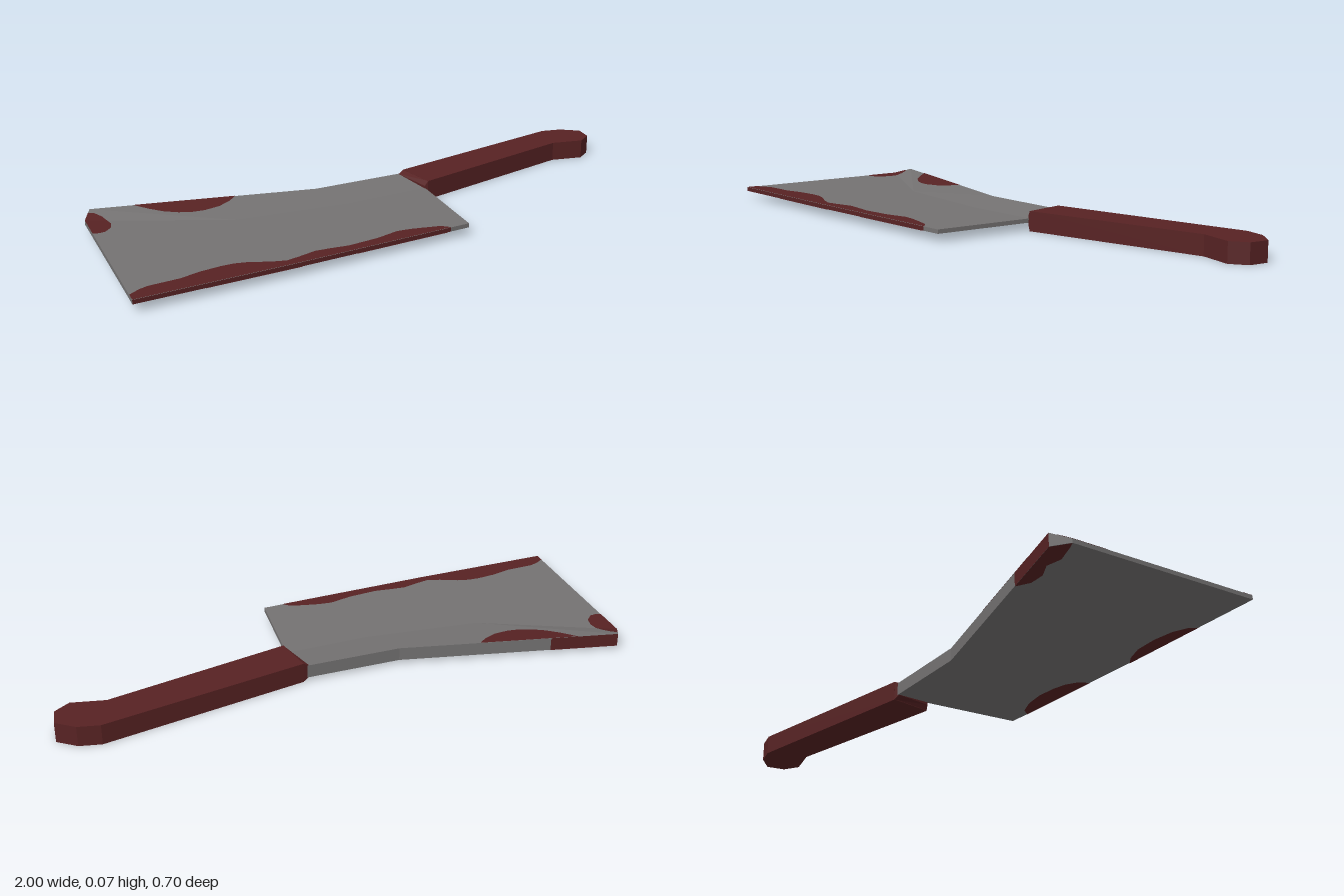
import * as THREE from 'three';

const steel = new THREE.MeshStandardMaterial({ color: 0x747272, side: THREE.DoubleSide, flatShading: true });
steel.name = 'steel';
const darkRed = new THREE.MeshStandardMaterial({ color: 0x572223, side: THREE.DoubleSide, flatShading: true });
darkRed.name = 'dark red';

const MID = 0.034, THIN = 0.007, THICK = 0.022;

// Blade plan: x, z, half thickness. 0-9 run round the outline, 10-11 lie on the ridge.
const plan = [
  [-1, 0.34, THIN], [-0.92, -0.3, THIN], [-0.885, -0.355, THICK], [-0.66, -0.29, THICK],
  [-0.16, -0.145, THICK], [0.165, -0.13, THICK], [0.185, 0.005, THIN], [0.13, 0.35, THIN],
  [0.06, 0.35, THIN], [-0.5, 0.35, THIN], [-0.5, -0.06, THIN], [-0.1, 0, THIN],
];
const slopes = [[1, 2, 10], [2, 3, 10], [3, 4, 10], [4, 11, 10], [4, 5, 11], [5, 6, 11]];
const flats = [[0, 1, 10], [0, 10, 9], [10, 11, 9], [11, 8, 9], [11, 6, 8], [6, 7, 8]];
const redSides = [2, 8, 9];

const at = (i, side) => new THREE.Vector3(plan[i][0], MID + side * plan[i][2], plan[i][1]);

function meshFrom(points, material, name) {
  const g = new THREE.BufferGeometry().setFromPoints(points);
  g.computeVertexNormals();
  const m = new THREE.Mesh(g, material);
  m.name = name;
  return m;
}

const quad = (a, b, c, d) => [a, b, c, a, c, d];

// Thin painted shape laid on the blade plane through three plan points
function stain(points, tri, side, name) {
  const shape = new THREE.Shape(points.map(([x, z]) => new THREE.Vector2(x, -z)));
  const g = new THREE.ShapeGeometry(shape);
  g.rotateX(-Math.PI / 2);
  const plane = new THREE.Plane().setFromCoplanarPoints(...tri.map((i) => at(i, side)));
  const p = g.attributes.position, n = plane.normal;
  for (let i = 0; i < p.count; i++) {
    const y = -(plane.constant + n.x * p.getX(i) + n.z * p.getZ(i)) / n.y;
    p.setY(i, y + side * 0.001);
  }
  if (side < 0) {
    const idx = g.index.array;
    for (let i = 0; i < idx.length; i += 3) [idx[i], idx[i + 1]] = [idx[i + 1], idx[i]];
  }
  g.computeVertexNormals();
  const m = new THREE.Mesh(g, darkRed);
  m.name = name;
  return m;
}

export function createModel() {
  const model = new THREE.Group();
  model.name = 'cleaver';

  // Blade: flat body thickening from the ridge to the spine
  const body = [], stainedRim = [];
  for (const [a, b, c] of [...slopes, ...flats]) {
    body.push(at(c, 1), at(b, 1), at(a, 1), at(a, -1), at(b, -1), at(c, -1));
  }
  for (let i = 0; i < 10; i++) {
    const j = (i + 1) % 10;
    const target = redSides.includes(i) ? stainedRim : body;
    target.push(...quad(at(i, 1), at(j, 1), at(j, -1), at(i, -1)));
  }
  model.add(meshFrom(body, steel, 'blade'), meshFrom(stainedRim, darkRed, 'stainedRim'));

  // Stains on the upper face
  model.add(
    stain([[-1, 0.34], [-0.9956, 0.305], [-0.96, 0.285], [-0.93, 0.276], [-0.83, 0.275], [-0.76, 0.26],
      [-0.69, 0.255], [-0.65, 0.258], [-0.61, 0.27], [-0.55, 0.302], [-0.505, 0.318], [-0.46, 0.31],
      [-0.4, 0.297], [-0.35, 0.303], [-0.29, 0.313], [-0.185, 0.307], [-0.105, 0.29], [-0.06, 0.296],
      [-0.02, 0.307], [0.03, 0.322], [0.05, 0.335], [0.06, 0.35], [-0.5, 0.35]], [0, 1, 10], 1, 'edgeStain'),
    stain([[-0.75, -0.316], [-0.715, -0.265], [-0.68, -0.225], [-0.64, -0.195], [-0.6, -0.177], [-0.56, -0.17],
      [-0.505, -0.175], [-0.46, -0.195], [-0.44, -0.21], [-0.425, -0.222]], [2, 4, 10], 1, 'spineStain'),
    stain([[-0.935, -0.18], [-0.915, -0.174], [-0.895, -0.176], [-0.868, -0.2], [-0.856, -0.235],
      [-0.858, -0.2645], [-0.92, -0.3]], [0, 1, 10], 1, 'tipStain'),
    stain([[-0.92, -0.3], [-0.858, -0.2645], [-0.865, -0.295], [-0.88, -0.325], [-0.897, -0.336]],
      [1, 2, 10], 1, 'tipStainSlope'),
  );

  // Stains on the underside
  model.add(
    stain([[0.05, 0.35], [0.03, 0.32], [-0.03, 0.293], [-0.1, 0.28], [-0.17, 0.282], [-0.22, 0.292],
      [-0.26, 0.315], [-0.28, 0.35]], [0, 1, 10], -1, 'lowerEdgeStain'),
    stain([[-0.47, 0.35], [-0.5, 0.325], [-0.56, 0.3], [-0.64, 0.293], [-0.71, 0.3], [-0.76, 0.32],
      [-0.78, 0.344], [-0.5, 0.35]], [0, 1, 10], -1, 'lowerEdgeStain'),
    stain([[-0.66, -0.29], [-0.7, -0.262], [-0.75, -0.262], [-0.8, -0.29], [-0.885, -0.355]],
      [2, 3, 10], -1, 'lowerSpineStain'),
    stain([[-0.885, -0.355], [-0.8, -0.29], [-0.84, -0.27], [-0.9, -0.29], [-0.92, -0.3]],
      [1, 2, 10], -1, 'lowerTipStain'),
  );

  // Handle: flat-sided grip with a hooked butt
  const outline = [[0.18, -0.132], [0.875, -0.235], [0.945, -0.215], [1, -0.165], [0.985, -0.1],
    [0.93, -0.067], [0.82, -0.098], [0.192, 0.012]];
  const grip = new THREE.ExtrudeGeometry(
    new THREE.Shape(outline.map(([x, z]) => new THREE.Vector2(x, -z))),
    { depth: 0.067, bevelEnabled: false });
  grip.rotateX(-Math.PI / 2);
  const handle = new THREE.Mesh(grip, darkRed);
  handle.name = 'handle';
  model.add(handle);

  // Collar: short taper from the blade heel up to the grip
  const V = (x, y, z) => new THREE.Vector3(x, y, z);
  const inner = [V(0.16, 0.056, -0.128), V(0.182, 0.05, 0.008), V(0.182, 0.018, 0.008), V(0.16, 0.012, -0.128)];
  const outer = [V(0.181, 0.067, -0.132), V(0.193, 0.067, 0.012), V(0.193, 0, 0.012), V(0.181, 0, -0.132)];
  const collar = quad(...inner);
  for (let i = 0; i < 4; i++) {
    const j = (i + 1) % 4;
    collar.push(...quad(inner[i], outer[i], outer[j], inner[j]).reverse());
  }
  model.add(meshFrom(collar, darkRed, 'collar'));

  return model;
}
